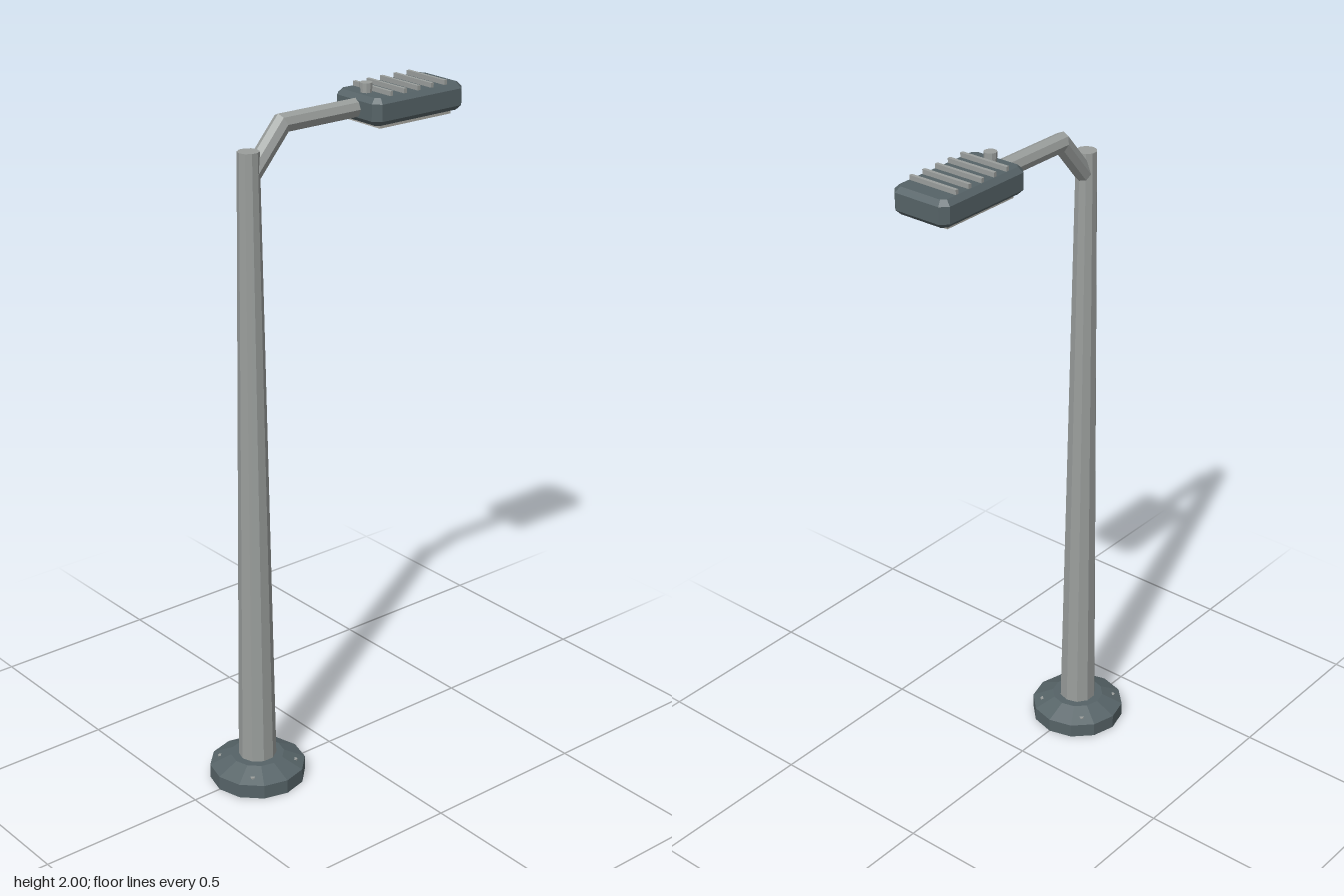
import * as THREE from 'three';

const POLE_X = -0.272;

export function createModel() {
  const model = new THREE.Group();
  model.name = 'streetLamp';

  const steel = new THREE.MeshStandardMaterial({ name: 'galvanised grey', color: 0x9a9e9c });
  const dark = new THREE.MeshStandardMaterial({ name: 'slate grey', color: 0x566367 });
  const lensGrey = new THREE.MeshStandardMaterial({ name: 'lens grey', color: 0xa9a9a2 });

  // Unshared vertices give crisp low-poly facets
  function add(name, geometry, material, x = 0, y = 0, z = 0) {
    const flat = geometry.index ? geometry.toNonIndexed() : geometry;
    flat.computeVertexNormals();
    const mesh = new THREE.Mesh(flat, material);
    mesh.name = name;
    mesh.position.set(x, y, z);
    model.add(mesh);
    return mesh;
  }

  // Footing: short drum with a sloped shoulder
  const footing = [[0, 0], [0.14, 0], [0.14, 0.042], [0.078, 0.071], [0, 0.071]];
  add('footing', new THREE.LatheGeometry(footing.map(([r, y]) => new THREE.Vector2(r, y)), 12), dark, POLE_X);

  // Anchor bolts, nearly sunk in the shoulder
  for (const sx of [-1, 1]) {
    for (const sz of [-1, 1]) {
      add('anchorBolt', new THREE.CylinderGeometry(0.007, 0.007, 0.03, 8), steel,
        POLE_X + sx * 0.078, 0.04, sz * 0.078);
    }
  }

  // Tapered ten-sided pole
  const pole = new THREE.CylinderGeometry(0.03, 0.055, 1.815, 10);
  pole.rotateY(Math.PI / 2);
  add('pole', pole, steel, POLE_X, 0.065 + 1.815 / 2, 0);

  // Bent arm: an eight-sided tube mitred at its elbow
  const path = [[POLE_X, 1.806], [-0.16, 1.936], [0.11, 1.936]].map(([x, y]) => new THREE.Vector2(x, y));
  const first = path[1].clone().sub(path[0]).normalize();
  const last = path[2].clone().sub(path[1]).normalize();
  const middle = first.clone().add(last).normalize();
  const tangents = [first, middle, last];
  const arm = new THREE.CylinderGeometry(0.027, 0.027, 2, 8, 2);
  const pos = arm.attributes.position;
  for (let i = 0; i < pos.count; i++) {
    const ring = Math.round(pos.getY(i) + 1);
    const t = tangents[ring];
    const offset = pos.getX(i) / (ring === 1 ? middle.dot(first) : 1);
    pos.setXY(i, path[ring].x + t.y * offset, path[ring].y - t.x * offset);
  }
  add('arm', arm, steel);

  // Plate with clipped corners and bevelled rims, lying flat
  function chamferedSlab(length, width, height, corner, bevel) {
    const a = length / 2 - bevel, b = width / 2 - bevel, c = corner;
    const outline = new THREE.Shape([
      [a - c, -b], [a, -b + c], [a, b - c], [a - c, b],
      [-a + c, b], [-a, b - c], [-a, -b + c], [-a + c, -b],
    ].map(([x, y]) => new THREE.Vector2(x, y)));
    const slab = new THREE.ExtrudeGeometry(outline, {
      depth: height - 2 * bevel, bevelEnabled: true, bevelSegments: 1,
      bevelSize: bevel, bevelThickness: bevel,
    });
    slab.translate(0, 0, bevel - height / 2);
    return slab.rotateX(-Math.PI / 2);
  }

  // Lamp head
  add('lampHousing', chamferedSlab(0.324, 0.184, 0.075, 0.012, 0.014), dark, 0.249, 1.9355, 0);
  add('lens', new THREE.BoxGeometry(0.256, 0.014, 0.136), lensGrey, 0.247, 1.894, 0);

  // Cooling fins across the top
  for (let i = 0; i < 5; i++) {
    add('coolingFin', new THREE.BoxGeometry(0.01, 0.02, 0.154), steel, 0.152 + i * 0.0485, 1.976, 0);
  }

  // Light sensor: stem and cap
  add('sensorStem', new THREE.CylinderGeometry(0.016, 0.016, 0.02, 10), steel, 0.128, 1.98, 0);
  add('sensorCap', new THREE.CylinderGeometry(0.018, 0.018, 0.016, 10), steel, 0.128, 1.992, 0);

  return model;
}
